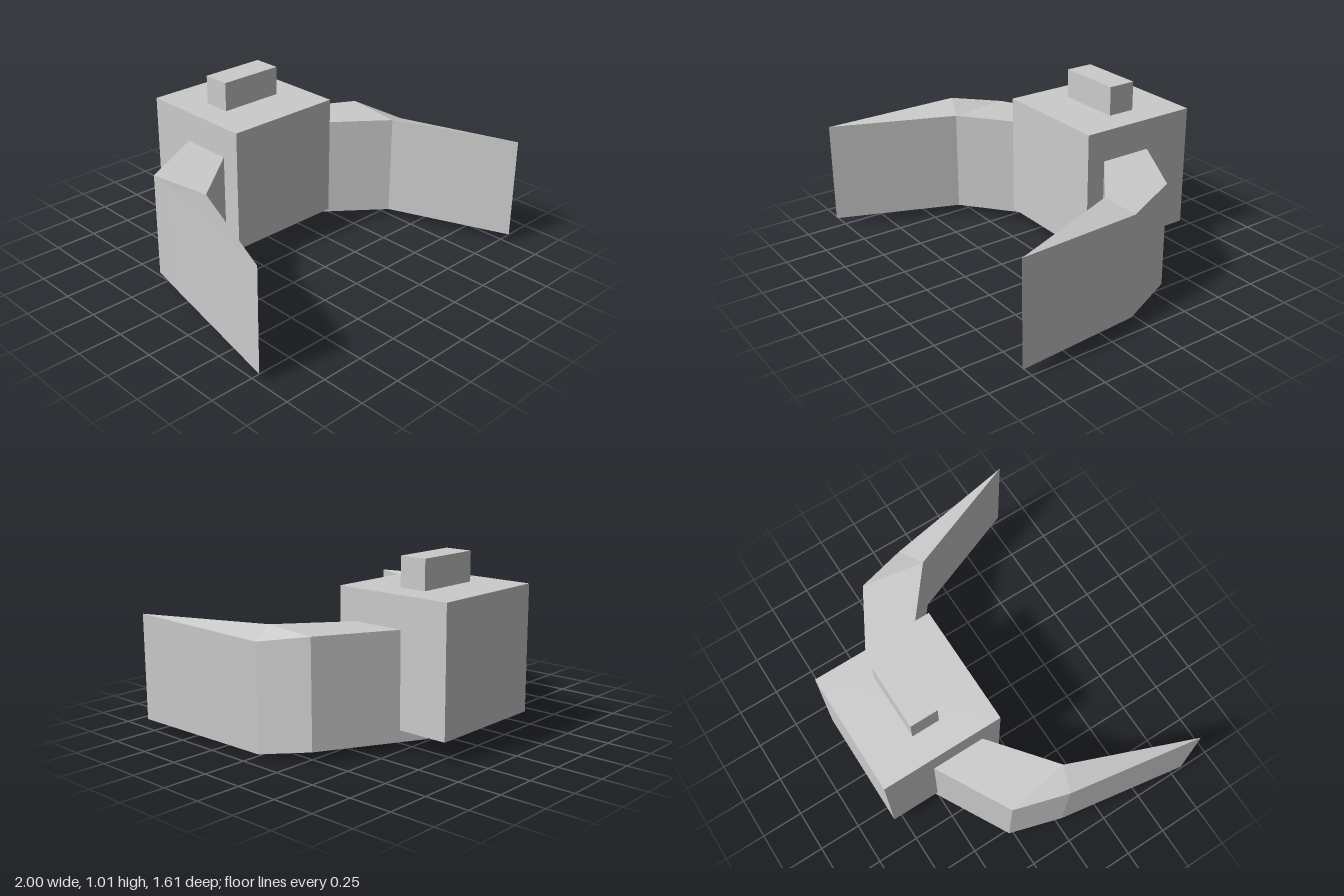
import * as THREE from 'three';

const material = new THREE.MeshStandardMaterial({ color: 0xcccccc, flatShading: true });

function box(name, w, h, d, y, z) {
  const mesh = new THREE.Mesh(new THREE.BoxGeometry(w, h, d), material);
  mesh.name = name;
  mesh.position.set(0, y, z);
  return mesh;
}

// Bent arm: a plan outline raised to a prism, its outer bend shifted vertically
function arm(name, side) {
  const plan = [[0.22, -0.585], [0.78, -0.28], [0.88, 0.02], [1, 0.805], [0.72, 0.09], [0.32, -0.23]];
  const n = plan.length;
  const bend = 2;
  const points = [0.055, 0.66].flatMap((y) =>
    plan.map(([x, z], i) => [x * side, y + (i === bend ? -0.055 * side : 0), z]));

  const faces = [];
  for (const [a, b, c] of [[0, 1, 4], [0, 4, 5], [1, 2, 4], [2, 3, 4]]) {
    faces.push([a, b, c], [a + n, c + n, b + n]); // underside, top
  }
  for (let i = 0; i < n; i++) {
    const j = (i + 1) % n;
    faces.push([i, i + n, j], [j, i + n, j + n]); // walls
  }

  const positions = faces
    .flatMap(([a, b, c]) => (side > 0 ? [a, b, c] : [a, c, b]))
    .flatMap((i) => points[i]);
  const geometry = new THREE.BufferGeometry();
  geometry.setAttribute('position', new THREE.Float32BufferAttribute(positions, 3));
  geometry.computeVertexNormals();
  const mesh = new THREE.Mesh(geometry, material);
  mesh.name = name;
  return mesh;
}

export function createModel() {
  const model = new THREE.Group();
  model.name = 'model';
  model.add(
    box('body', 0.72, 0.72, 0.72, 0.48, -0.445),
    box('topBlock', 0.39, 0.17, 0.165, 0.925, -0.45),
    arm('leftArm', 1),
    arm('rightArm', -1),
  );
  return model;
}
